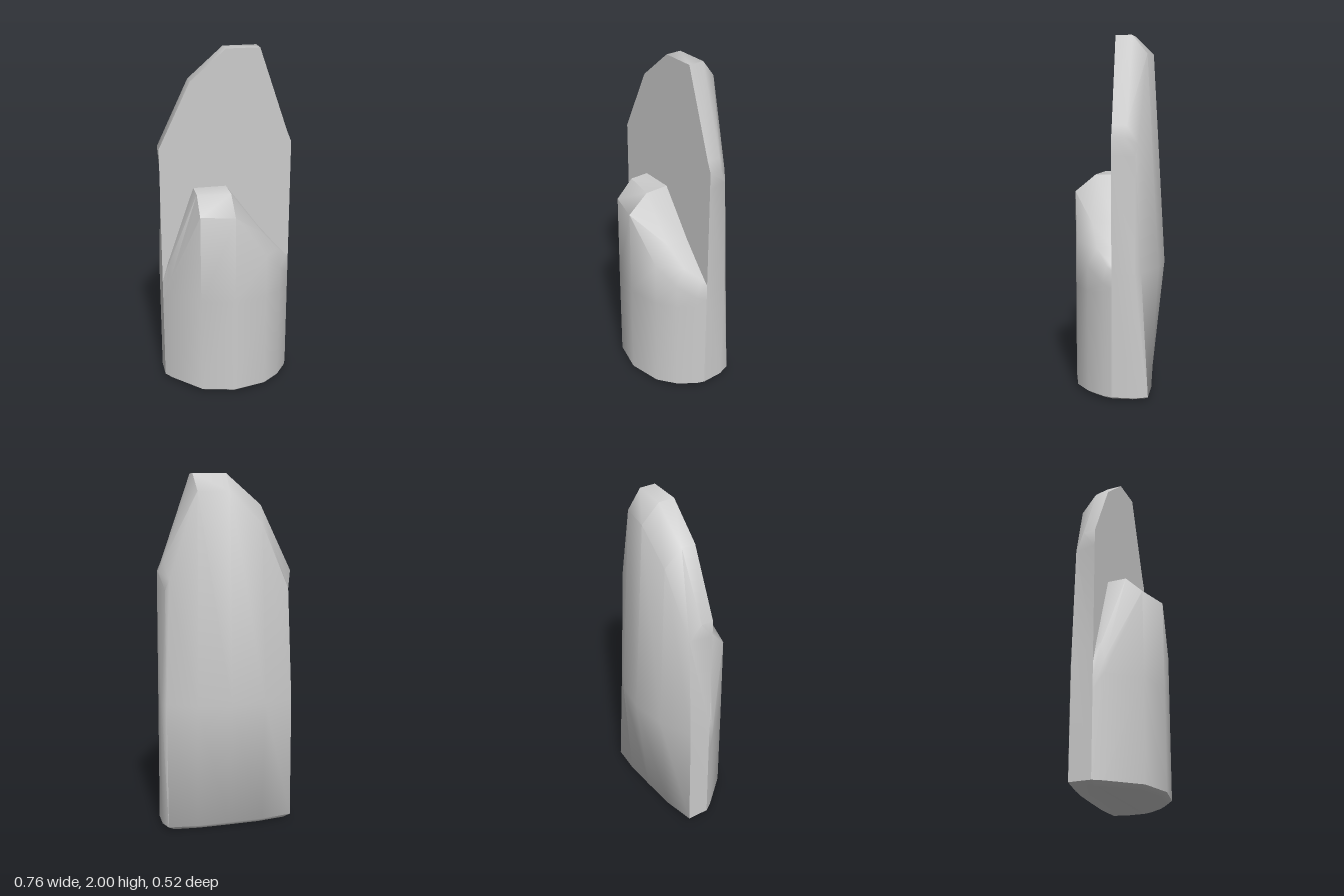
import * as THREE from 'three';
import { toCreasedNormals } from 'three/addons/utils/BufferGeometryUtils.js';

// Each column: x, top height, depth at the top, at the shoulder, at the middle, at the base.
const backColumns = [
  [-0.38, 1.46, 0, 0, 0, 0],
  [-0.38, 1.46, 0.07, 0.127, 0.127, 0.127],
  [-0.2, 1.83, 0.08, 0.173, 0.22, 0.17],
  [0, 2, 0.09, 0.193, 0.262, 0.19],
  [0.19, 2, 0.09, 0.173, 0.242, 0.205],
  [0.355, 1.52, 0.08, 0.14, 0.16, 0.2],
  [0.38, 1.46, 0.07, 0.127, 0.127, 0.127],
  [0.38, 1.46, 0, 0, 0, 0],
];
const frontColumns = [
  [-0.38, 0.65, 0, 0, 0, 0],
  [-0.345, 0.77, 0.03, 0.05, 0.05, 0.05],
  [-0.19, 1.22, 0.11, 0.21, 0.213, 0.213],
  [0, 1.22, 0.14, 0.26, 0.26, 0.26],
  [0.19, 0.96, 0.13, 0.22, 0.22, 0.22],
  [0.29, 0.84, 0.09, 0.145, 0.145, 0.145],
  [0.36, 0.76, 0.03, 0.05, 0.05, 0.05],
  [0.38, 0.74, 0, 0, 0, 0],
];

// Closed half shell: one ring per column, running from the flat face over the top to the base.
function halfShell(columns, side, midY, inset) {
  const rings = columns.map(([x, top, d1, d2, d3, d4]) => [
    [x, top, 0],
    [x, top, side * d1],
    [d2 > 0 ? x * inset : x, top - 0.1, side * d2],
    [x, Math.min(midY, top - 0.15), side * d3],
    [x, 0.02, side * d4],
    [x * 0.9, 0, side * d4 * 0.9],
    [x * 0.9, 0, 0],
    [x, 0.02, 0],
  ]);
  const positions = [];
  const triangle = (a, b, c) => {
    const [p, q, r] = [a, b, c].map((v) => new THREE.Vector3(...v));
    if (q.clone().sub(p).cross(r.clone().sub(p)).length() < 1e-7) return;
    positions.push(...a, ...(side < 0 ? [...b, ...c] : [...c, ...b]));
  };
  for (let i = 0; i < rings.length - 1; i++) {
    const left = rings[i], right = rings[i + 1];
    for (let j = 0; j < left.length; j++) {
      const k = (j + 1) % left.length;
      triangle(left[j], right[j], left[k]);
      triangle(right[j], right[k], left[k]);
    }
  }
  const geometry = new THREE.BufferGeometry();
  geometry.setAttribute('position', new THREE.Float32BufferAttribute(positions, 3));
  return toCreasedNormals(geometry, 0.9);
}

export function createModel() {
  const group = new THREE.Group();
  group.name = 'splitStone';
  const material = new THREE.MeshStandardMaterial({ color: 0xcccccc });

  // Tall rear slab with a chamfered crown
  const back = new THREE.Mesh(halfShell(backColumns, -1, 0.72, 0.93), material);
  back.name = 'tallBackHalf';

  // Shorter rounded half in front
  const front = new THREE.Mesh(halfShell(frontColumns, 1, 0.6, 1), material);
  front.name = 'shortFrontHalf';

  group.add(back, front);
  return group;
}
